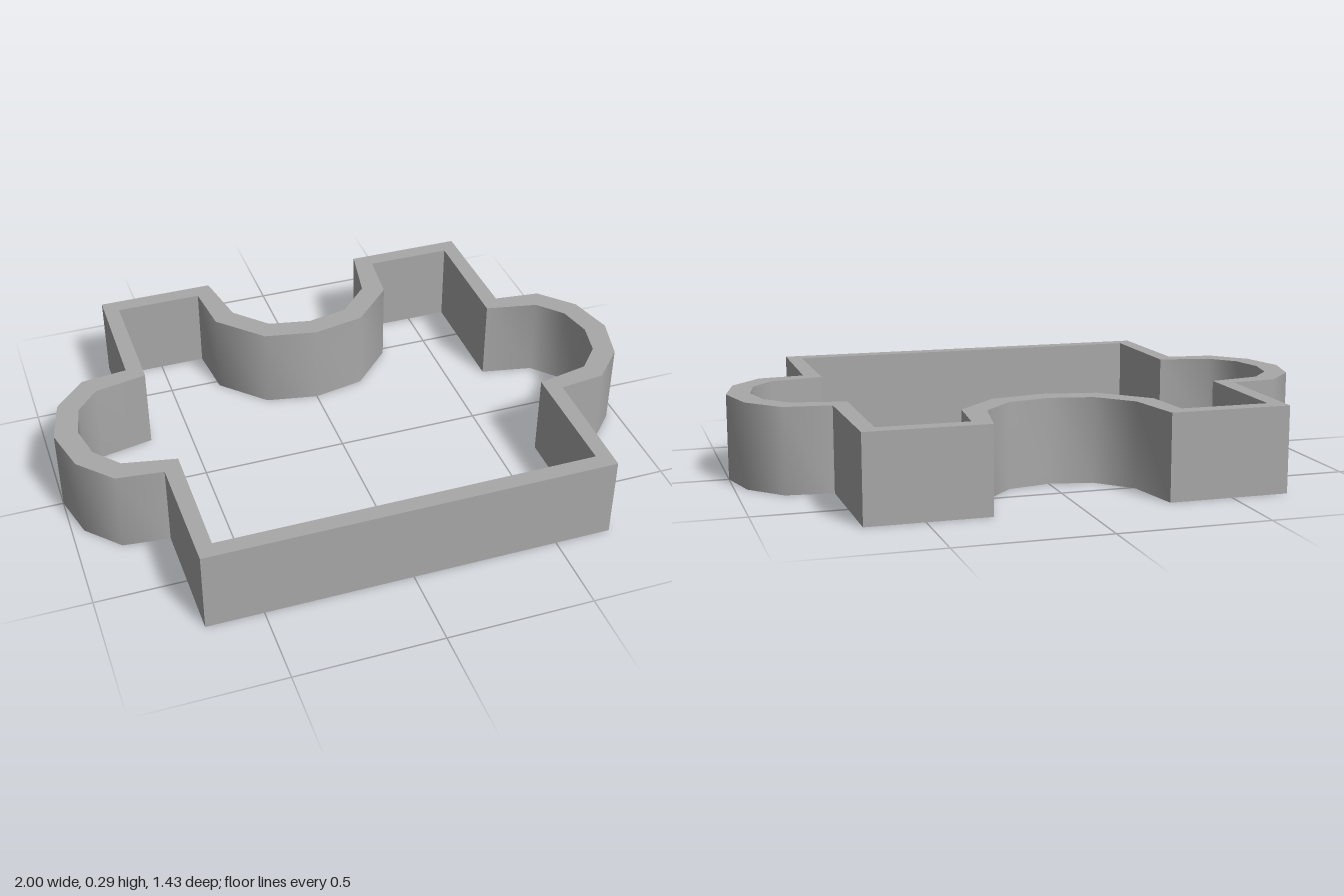
import * as THREE from 'three';
import { toCreasedNormals } from 'three/addons/utils/BufferGeometryUtils.js';

const HEIGHT = 0.288;

// Right half of each outline as [x, z], running from the back notch to the front edge.
const outerHalf = [
  [0, -0.37], [0.145, -0.4], [0.25, -0.511], [0.288, -0.716],
  [0.692, -0.716], [0.697, -0.288],
  [0.855, -0.27], [0.96, -0.158], [1, 0], [0.96, 0.158], [0.855, 0.27],
  [0.697, 0.288], [0.692, 0.716],
];
const innerHalf = [
  [0, -0.294], [0.181, -0.329], [0.324, -0.475], [0.343, -0.66],
  [0.64, -0.66], [0.64, -0.238],
  [0.82, -0.202], [0.895, -0.117], [0.92, 0], [0.895, 0.117], [0.82, 0.202],
  [0.64, 0.238], [0.64, 0.66],
];

// Mirrors a half outline across x = 0 into a closed clockwise loop.
function closedLoop(half) {
  const right = half.map(([x, z]) => new THREE.Vector2(x, -z));
  const left = half.slice(1).reverse().map(([x, z]) => new THREE.Vector2(-x, -z));
  return [...right, ...left];
}

export function createModel() {
  const group = new THREE.Group();
  group.name = 'puzzlePieceCutter';

  const grey = new THREE.MeshStandardMaterial({ color: 0xa8a8a8 });
  grey.name = 'grey';

  // Upright wall following the puzzle piece; the hole runs the opposite way so its faces point inwards
  const shape = new THREE.Shape(closedLoop(outerHalf));
  shape.holes.push(new THREE.Path(closedLoop(innerHalf).reverse()));
  const extruded = new THREE.ExtrudeGeometry(shape, { depth: HEIGHT, bevelEnabled: false });
  extruded.rotateX(-Math.PI / 2);

  // Round the tabs and notch, keep the corners sharp
  const wall = new THREE.Mesh(toCreasedNormals(extruded, THREE.MathUtils.degToRad(48)), grey);
  wall.name = 'cutterWall';
  group.add(wall);

  return group;
}
